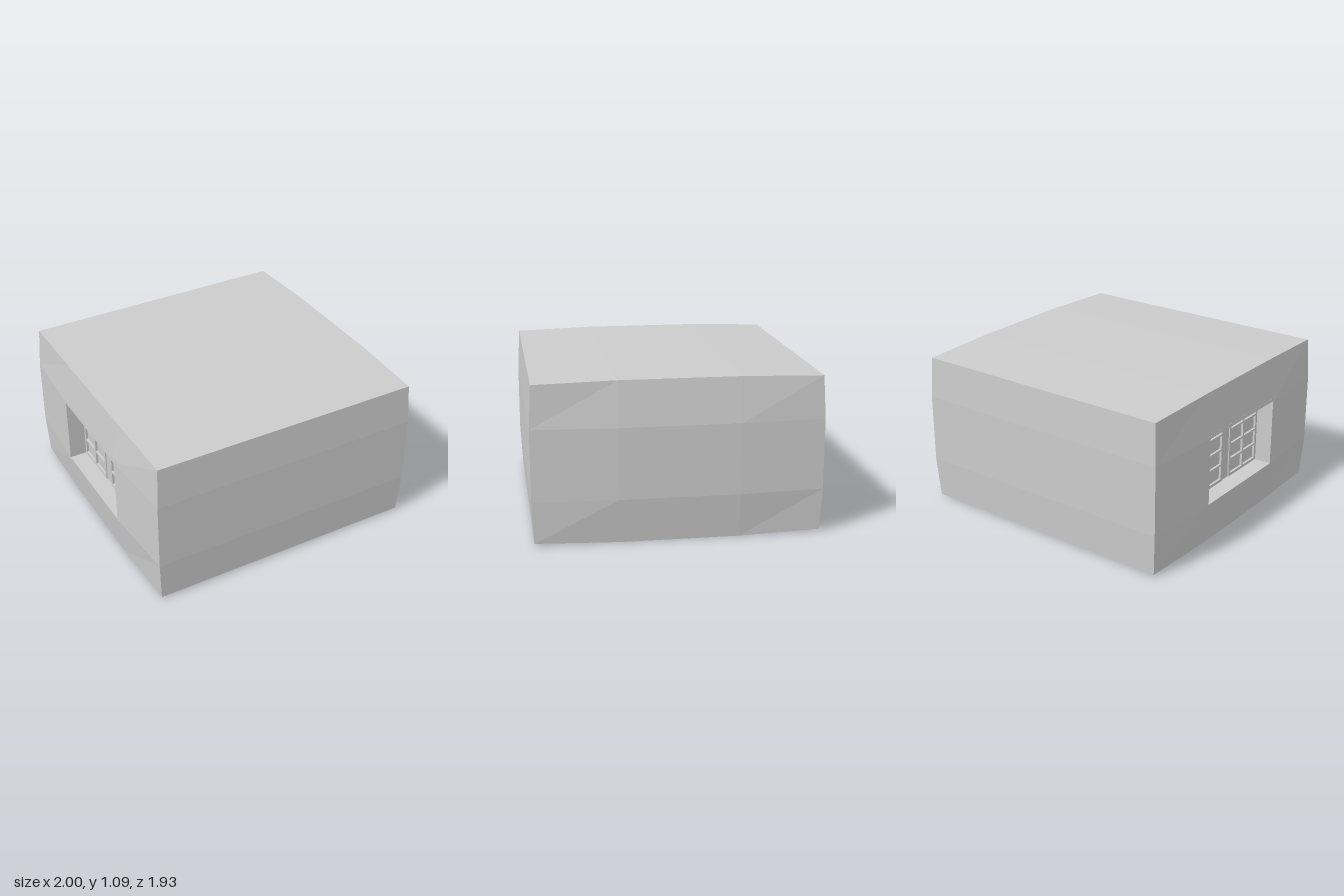
import * as THREE from 'three';

const material = new THREE.MeshStandardMaterial({ color: 0xcccccc, flatShading: true });
const MID_Y = 0.5425, WIN_H = 0.24, WIN_W = 0.4; // window half height and half width

// Box with gently swelling faces; the middle panel of the -x end is left open
function shellGeometry() {
  const g = new THREE.BoxGeometry(2, 2, 2, 1, 3, 3);
  const p = g.attributes.position;
  for (let i = 0; i < p.count; i++) {
    const x = p.getX(i), y = p.getY(i), z = p.getZ(i);
    const innerY = Math.abs(y) < 0.9, innerZ = Math.abs(z) < 0.9;
    const bx = innerY && innerZ ? 1 : innerY ? 0.965 : innerZ ? 0.96 : 0.95;
    const by = innerY ? WIN_H : innerZ ? MID_Y : 0.5275;
    const bz = innerZ ? WIN_W : innerY ? 0.965 : 0.95;
    p.setXYZ(i, Math.sign(x) * bx, MID_Y + Math.sign(y) * by, Math.sign(z) * bz);
  }
  const old = g.index.array, kept = [];
  for (let i = 0; i < old.length; i += 3) {
    const tri = [old[i], old[i + 1], old[i + 2]];
    if (!tri.every(v => p.getX(v) < -0.99)) kept.push(...tri);
  }
  g.setIndex(kept);
  g.computeVertexNormals();
  return g;
}

// Rectangular frame with cols x rows openings, in the z-y plane, extruded towards -x
function latticeGeometry(w, h, border, bar, cols, rows, depth) {
  const rect = (path, x, y, rw, rh) =>
    path.moveTo(x, y).lineTo(x + rw, y).lineTo(x + rw, y + rh).lineTo(x, y + rh).closePath();
  const shape = new THREE.Shape();
  rect(shape, -w / 2, -h / 2, w, h);
  const cw = (w - 2 * border - (cols - 1) * bar) / cols;
  const ch = (h - 2 * border - (rows - 1) * bar) / rows;
  for (let c = 0; c < cols; c++) {
    for (let r = 0; r < rows; r++) {
      const hole = new THREE.Path();
      rect(hole, -w / 2 + border + c * (cw + bar), -h / 2 + border + r * (ch + bar), cw, ch);
      shape.holes.push(hole);
    }
  }
  return new THREE.ExtrudeGeometry(shape, { depth, bevelEnabled: false }).rotateY(-Math.PI / 2);
}

export function createModel() {
  const model = new THREE.Group();
  const add = (parent, name, geometry, x = 0, y = 0, z = 0) => {
    const mesh = new THREE.Mesh(geometry, material);
    mesh.name = name;
    mesh.position.set(x, y, z);
    parent.add(mesh);
  };

  add(model, 'roomShell', shellGeometry());

  // Window set back in the wall
  const win = new THREE.Group();
  win.name = 'window';
  model.add(win);
  add(win, 'windowReveal',
    latticeGeometry(2 * WIN_W + 0.04, 2 * WIN_H + 0.04, 0.02, 0, 1, 1, 0.148), -0.85, MID_Y);
  add(win, 'windowGlass', new THREE.BoxGeometry(0.01, 2 * WIN_H, 2 * WIN_W), -0.855, MID_Y);
  add(win, 'centreMullion', new THREE.BoxGeometry(0.01, 2 * WIN_H, 0.08), -0.863, MID_Y);
  for (const side of [-1, 1]) {
    add(win, side > 0 ? 'frontSash' : 'rearSash',
      latticeGeometry(0.36, 2 * WIN_H, 0.02, 0.014, 2, 4, 0.018), -0.858, MID_Y, side * 0.22);
  }
  return model;
}
